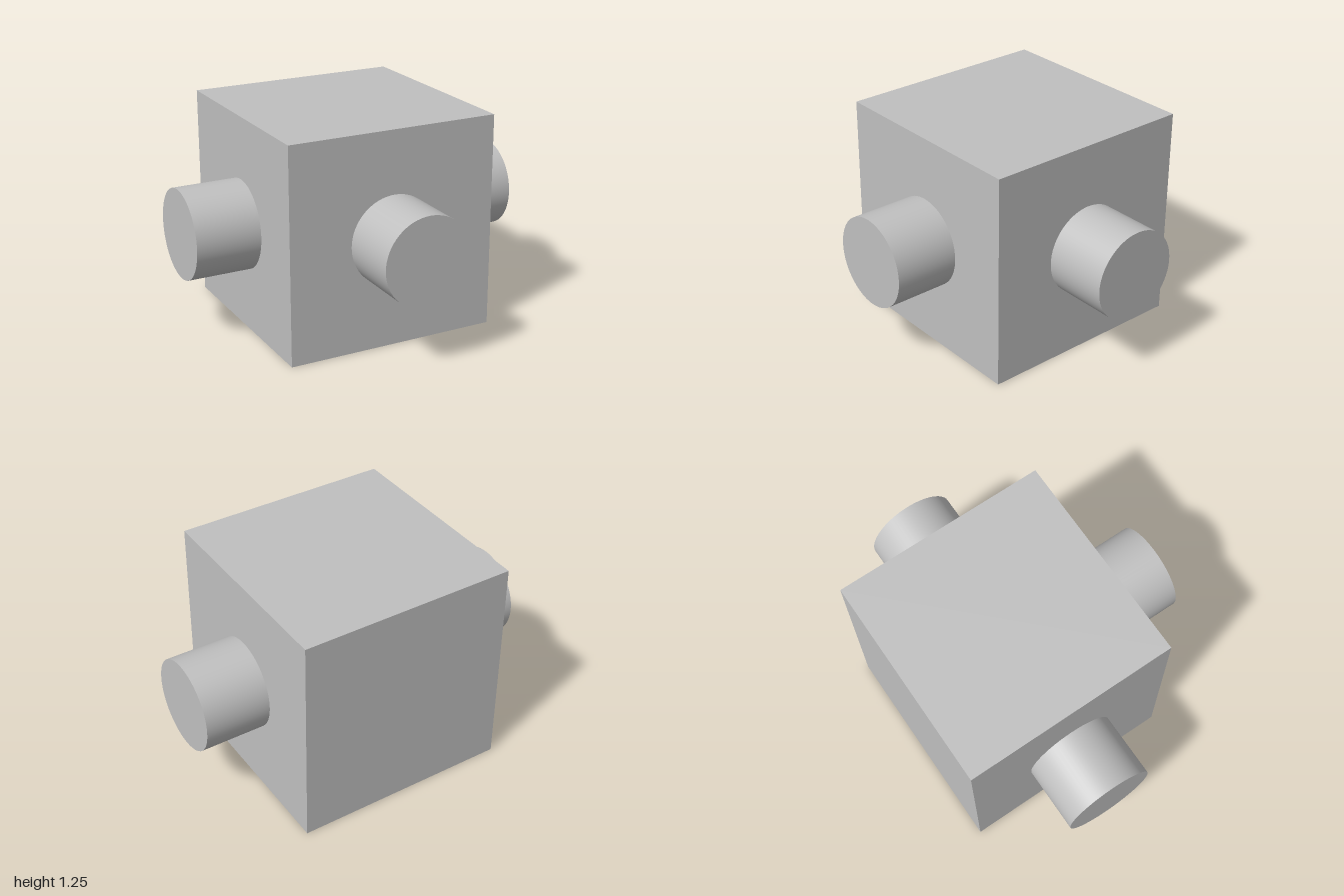
import * as THREE from 'three';

export function createModel() {
  const model = new THREE.Group();
  model.name = 'pipeJunction';
  const grey = new THREE.MeshStandardMaterial({ color: 0xc0c0c0 });
  grey.name = 'grey';

  const size = 1.25;    // cube edge
  const stub = 0.375;   // how far each stub stands out
  const radius = 0.26;
  const centre = new THREE.Vector3(0, size / 2, -stub / 2);

  // Cube body
  const body = new THREE.Mesh(new THREE.BoxGeometry(size, size, size), grey);
  body.name = 'body';
  body.position.copy(centre);
  model.add(body);

  // Round stubs on the left, right and front faces
  const stubGeometry = new THREE.CylinderGeometry(radius, radius, stub, 64);
  const up = new THREE.Vector3(0, 1, 0);
  const directions = {
    leftStub: new THREE.Vector3(1, 0, 0),
    rightStub: new THREE.Vector3(-1, 0, 0),
    frontStub: new THREE.Vector3(0, 0, 1),
  };
  for (const [name, direction] of Object.entries(directions)) {
    const mesh = new THREE.Mesh(stubGeometry, grey);
    mesh.name = name;
    mesh.quaternion.setFromUnitVectors(up, direction);
    mesh.position.copy(centre).addScaledVector(direction, (size + stub) / 2);
    model.add(mesh);
  }
  return model;
}
